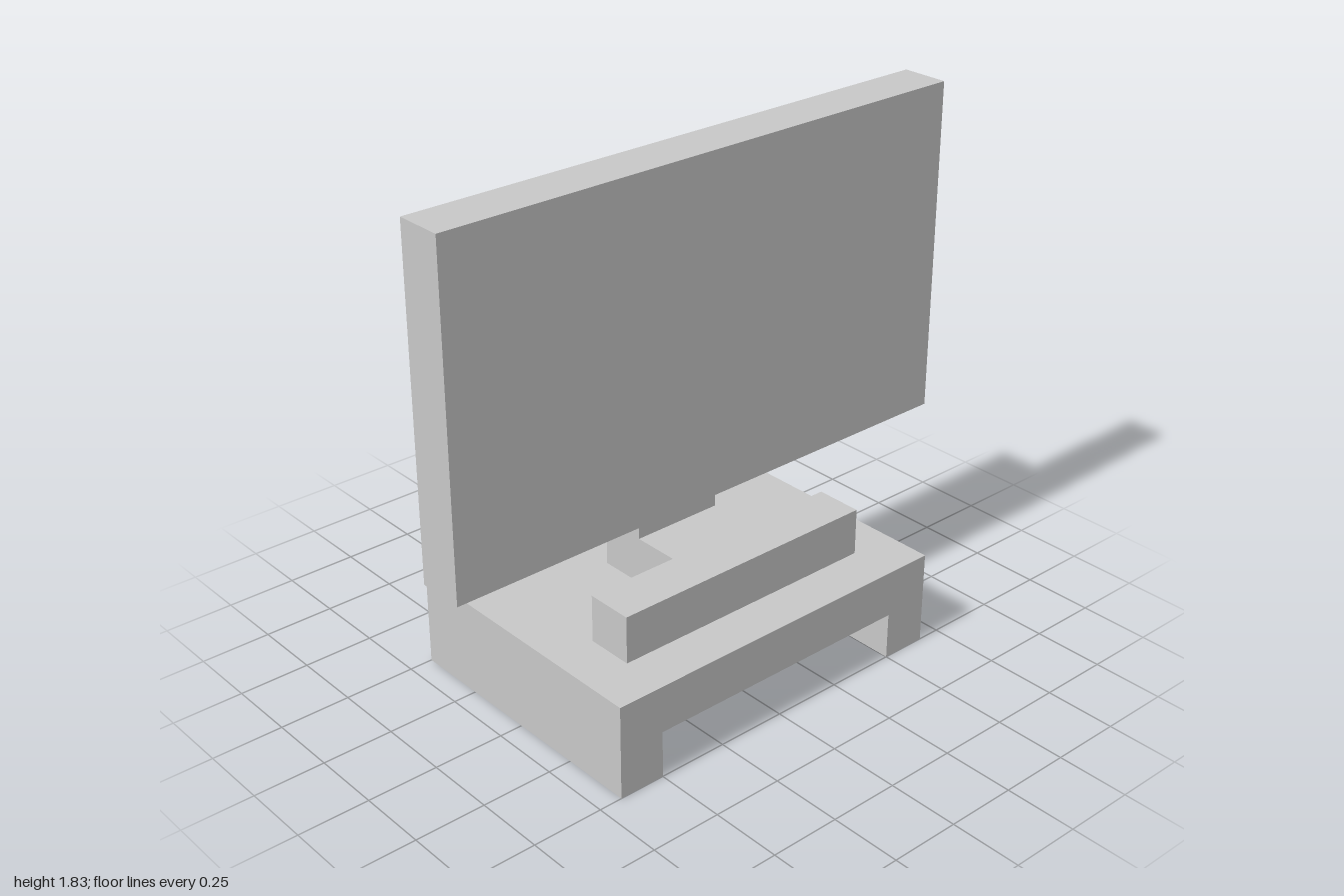
import * as THREE from 'three';

const U = 1 / 6; // building module

export function createModel() {
  const model = new THREE.Group();
  model.name = 'monitorOnStand';
  const grey = new THREE.MeshStandardMaterial({ color: 0xc8c8c8 });
  grey.name = 'light grey';

  const add = (name, geometry) => {
    const mesh = new THREE.Mesh(geometry, grey);
    mesh.name = name;
    model.add(mesh);
    return mesh;
  };

  // Box between two corners, given in modules
  const box = (name, x0, x1, y0, y1, z0, z1) => {
    const geometry = new THREE.BoxGeometry((x1 - x0) * U, (y1 - y0) * U, (z1 - z0) * U);
    geometry.translate((x0 + x1) / 2 * U, (y0 + y1) / 2 * U, (z0 + z1) / 2 * U);
    return add(name, geometry);
  };

  // Outline in modules, extruded by a depth in modules
  const extrude = (points, depth) => new THREE.ExtrudeGeometry(
    new THREE.Shape(points.map(([a, b]) => new THREE.Vector2(a * U, b * U))),
    { depth: depth * U, bevelEnabled: false });

  // Table base with a leg at each end: arch profile in z-y, extruded along x
  const base = extrude([[-4, 0], [-3, 0], [-3, 1], [3, 1], [3, 0], [4, 0], [4, 2], [-4, 2]], 6);
  base.rotateY(Math.PI / 2).translate(-3 * U, 0, 0);
  add('base', base);

  // T-shaped foot: arm under the neck and a cross bar in front of the screen
  const foot = extrude([[-1, -1], [1, -1], [1, -3], [2, -3], [2, 3], [1, 3], [1, 1], [-1, 1]], 1);
  foot.rotateX(-Math.PI / 2).translate(0, 2 * U, 0);
  add('foot', foot);

  // Upright neck, rear housing and wide screen
  box('neck', -1, 0, 3, 4, -1, 1);
  box('rearHousing', -1, 0, 4, 9, -4, 4);
  box('screen', 0, 1, 4, 11, -6, 6);

  return model;
}
